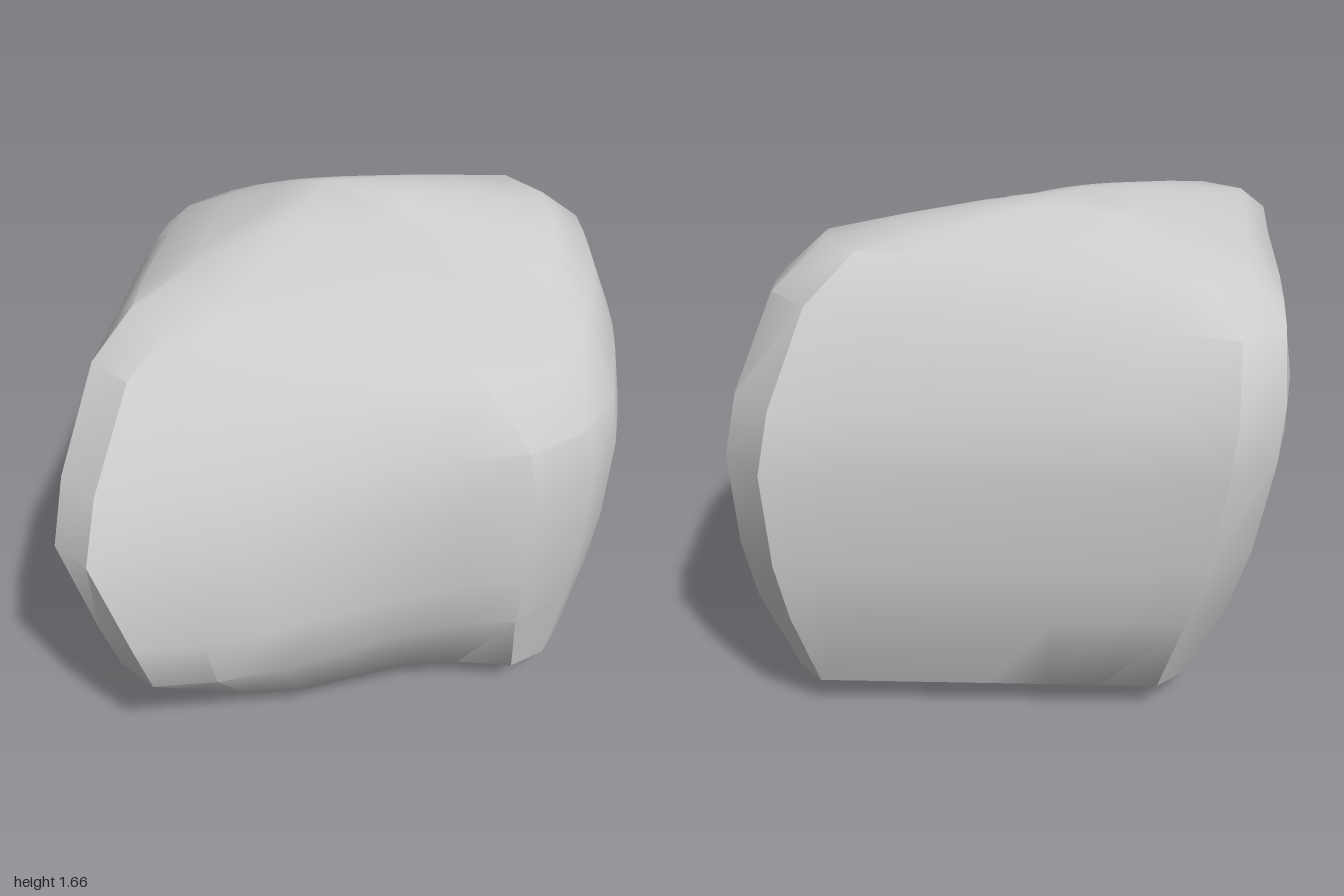
import * as THREE from 'three';
import { toCreasedNormals } from 'three/addons/utils/BufferGeometryUtils.js';

const { lerp, smoothstep } = THREE.MathUtils;

// Corner positions per height: y, then x,z of the corners at (-x,+z), (+x,+z), (+x,-z), (-x,-z)
const LEVELS = [
  [0.00, -0.51, 0.46, 0.58, 0.31, 0.58, -0.69, -0.42, -0.66],
  [0.11, -0.66, 0.66, 0.74, 0.42, 0.72, -0.87, -0.56, -0.79],
  [0.42, -0.77, 0.98, 0.83, 0.46, 0.82, -0.99, -0.69, -0.89],
  [0.62, -0.81, 1.03, 0.86, 0.47, 0.86, -1.01, -0.75, -0.91],
  [0.93, -0.93, 0.99, 0.88, 0.47, 0.88, -1.01, -0.80, -0.92],
  [1.12, -0.91, 0.88, 0.85, 0.46, 0.85, -0.96, -0.82, -0.90],
  [1.40, -0.83, 0.65, 0.73, 0.39, 0.76, -0.81, -0.82, -0.79],
  [1.52, -0.73, 0.49, 0.57, 0.28, 0.62, -0.70, -0.71, -0.68],
];
const BEVEL = [0.14, 0.30, 0.14, 0.14];    // cut at each corner
const ROUND = [false, true, false, false]; // corners with a softer, two-step cut
const DROP = [0, 0.12, 0, 0.085];          // how far each upper corner sags
const BULGE = [0, 0.045, 0, 0];            // outward swell of each side
const WAVE = [0.026, 0, 0, 0.045];         // S-shaped bend of each side
const STEPS = 6;                           // segments along each side
const PEAK = new THREE.Vector3(-0.16, 1.66, -0.34);

// One closed cross-section with cut corners
function makeRing([y, ...c]) {
  const corner = [0, 1, 2, 3].map(i => new THREE.Vector3(c[2 * i], y, c[2 * i + 1]));
  const cut = lerp(0.55, 1, smoothstep(y, 0, 0.5)); // corners are tighter near the base
  const bend = 1.3 * (1.5 - y);                     // sides straighten towards the top
  const sag = smoothstep(y, 1.1, 1.5);
  const ring = [];
  for (let i = 0; i < 4; i++) {
    const next = (i + 1) % 4;
    const a = corner[i], b = corner[next];
    const dir = b.clone().sub(a).normalize();
    const out = new THREE.Vector3(-dir.z, 0, dir.x);
    const start = a.clone().addScaledVector(dir, BEVEL[i] * cut);
    const end = b.clone().addScaledVector(dir, -BEVEL[next] * cut);
    start.y -= DROP[i] * sag;
    if (ROUND[i]) {
      const soft = ring[ring.length - 1].clone().lerp(start, 0.5).lerp(a, 0.32);
      ring.push(soft.setY(start.y));
    }
    for (let k = 0; k <= STEPS; k++) {
      const t = k / STEPS;
      const swell = BULGE[i] * cut * cut * Math.sin(Math.PI * t) + WAVE[i] * bend * Math.sin(2 * Math.PI * t);
      const p = start.clone().lerp(end, t).addScaledVector(out, swell);
      ring.push(p.setY(y - sag * (DROP[i] * (1 - t) ** 2 + DROP[next] * t ** 2)));
    }
  }
  // The upper rim rises towards the back
  const tilt = -0.035 * smoothstep(y, 1.4, 1.5);
  for (const p of ring) p.y += tilt * p.z;
  return ring;
}

function makeRockGeometry() {
  const rings = LEVELS.map(makeRing);
  // Domed top: shrink the rim towards the peak
  const rim = rings[rings.length - 1];
  for (const s of [0.7, 0.36]) {
    rings.push(rim.map(p => PEAK.clone().lerp(p, s).setY(lerp(PEAK.y, p.y, s ** 1.25))));
  }
  const n = rim.length;
  const points = rings.flat();
  const index = [];
  for (let r = 0; r < rings.length - 1; r++) {
    for (let i = 0; i < n; i++) {
      const a = r * n + i, b = r * n + (i + 1) % n;
      index.push(a, b, b + n, a, b + n, a + n);
    }
  }
  // Close the top at the peak and the flat base at its middle
  const top = points.push(PEAK) - 1;
  const base = points.push(new THREE.Vector3(0, 0, -0.15)) - 1;
  const last = (rings.length - 1) * n;
  for (let i = 0; i < n; i++) {
    const j = (i + 1) % n;
    index.push(last + i, last + j, top, j, i, base);
  }
  const geometry = new THREE.BufferGeometry().setFromPoints(points);
  geometry.setIndex(index);
  return toCreasedNormals(geometry, 0.6);
}

export function createModel() {
  const group = new THREE.Group();
  group.name = 'boulder';
  const rock = new THREE.Mesh(makeRockGeometry(), new THREE.MeshStandardMaterial({ color: 0xcccccc }));
  rock.name = 'rock';
  group.add(rock);
  return group;
}
